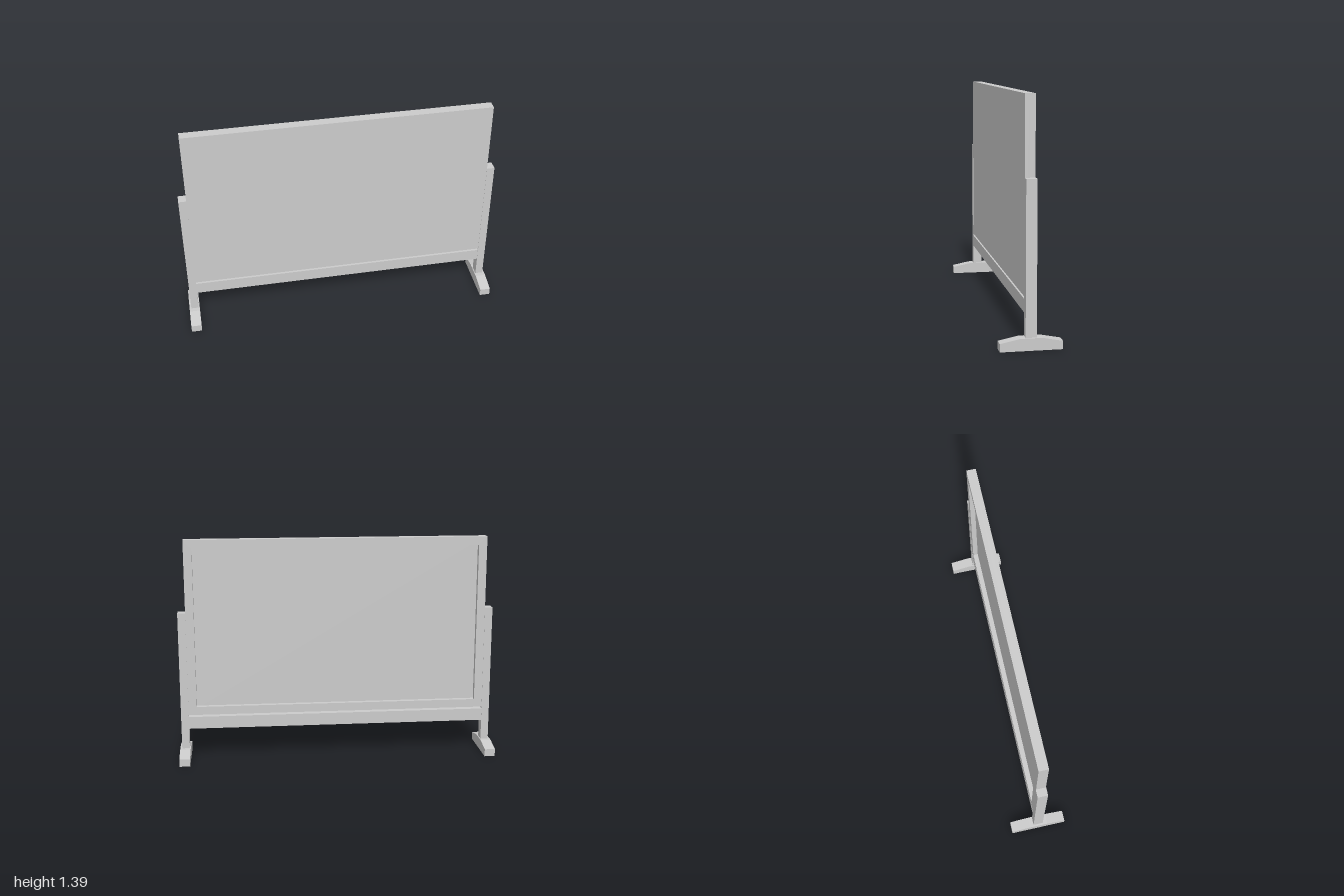
import * as THREE from 'three';

const material = new THREE.MeshStandardMaterial({ color: 0xcccccc, flatShading: true });

function add(parent, name, geometry, x = 0, y = 0, z = 0) {
  const mesh = new THREE.Mesh(geometry, material);
  mesh.name = name;
  mesh.position.set(x, y, z);
  parent.add(mesh);
  return mesh;
}

// Box given by its lower and upper limits
function box(parent, name, [x0, x1], [y0, y1], [z0, z1]) {
  return add(parent, name, new THREE.BoxGeometry(x1 - x0, y1 - y0, z1 - z0),
    (x0 + x1) / 2, (y0 + y1) / 2, (z0 + z1) / 2);
}

function rectangle(path, x, y0, y1) {
  path.moveTo(-x, y0);
  path.lineTo(x, y0);
  path.lineTo(x, y1);
  path.lineTo(-x, y1);
  path.closePath();
  return path;
}

export function createModel() {
  const model = new THREE.Group();
  model.name = 'standingBoard';

  const halfWidth = 0.94, bottom = 0.288, top = 1.393, halfDepth = 0.029;
  const border = 0.052, sheetBack = 0.002;

  // Board: flush sheet in front, raised frame around the recessed back
  const board = new THREE.Group();
  board.name = 'board';
  model.add(board);
  box(board, 'boardSheet', [-halfWidth, halfWidth], [bottom, top], [sheetBack, halfDepth]);
  const frame = rectangle(new THREE.Shape(), halfWidth, bottom, top);
  frame.holes.push(rectangle(new THREE.Path(), halfWidth - border, bottom + border, top - border));
  add(board, 'backFrame', new THREE.ExtrudeGeometry(frame, {
    depth: sheetBack + halfDepth, bevelEnabled: false,
  }), 0, 0, -halfDepth);

  // Rail under the board, leaving a narrow gap
  box(model, 'lowerRail', [-halfWidth, halfWidth], [0.198, 0.275], [-halfDepth, halfDepth]);

  // Foot profile, sloping down to both ends
  const footShape = new THREE.Shape([
    [-0.176, 0], [0.176, 0], [0.176, 0.047], [0.06, 0.07], [-0.06, 0.07], [-0.176, 0.047],
  ].map(([z, y]) => new THREE.Vector2(z, y)));
  const footWidth = 0.066;
  const footGeometry = new THREE.ExtrudeGeometry(footShape, { depth: footWidth, bevelEnabled: false });
  footGeometry.translate(0, 0, -footWidth / 2).rotateY(Math.PI / 2);

  // Post and foot on each side
  for (const [side, sign] of [['left', 1], ['right', -1]]) {
    const support = new THREE.Group();
    support.name = side + 'Support';
    model.add(support);
    const center = sign * 0.964;
    box(support, side + 'Post', [center - 0.024, center + 0.024], [0.07, 0.942], [-0.031, 0.031]);
    add(support, side + 'Foot', footGeometry, sign * (1 - footWidth / 2));
  }

  return model;
}
